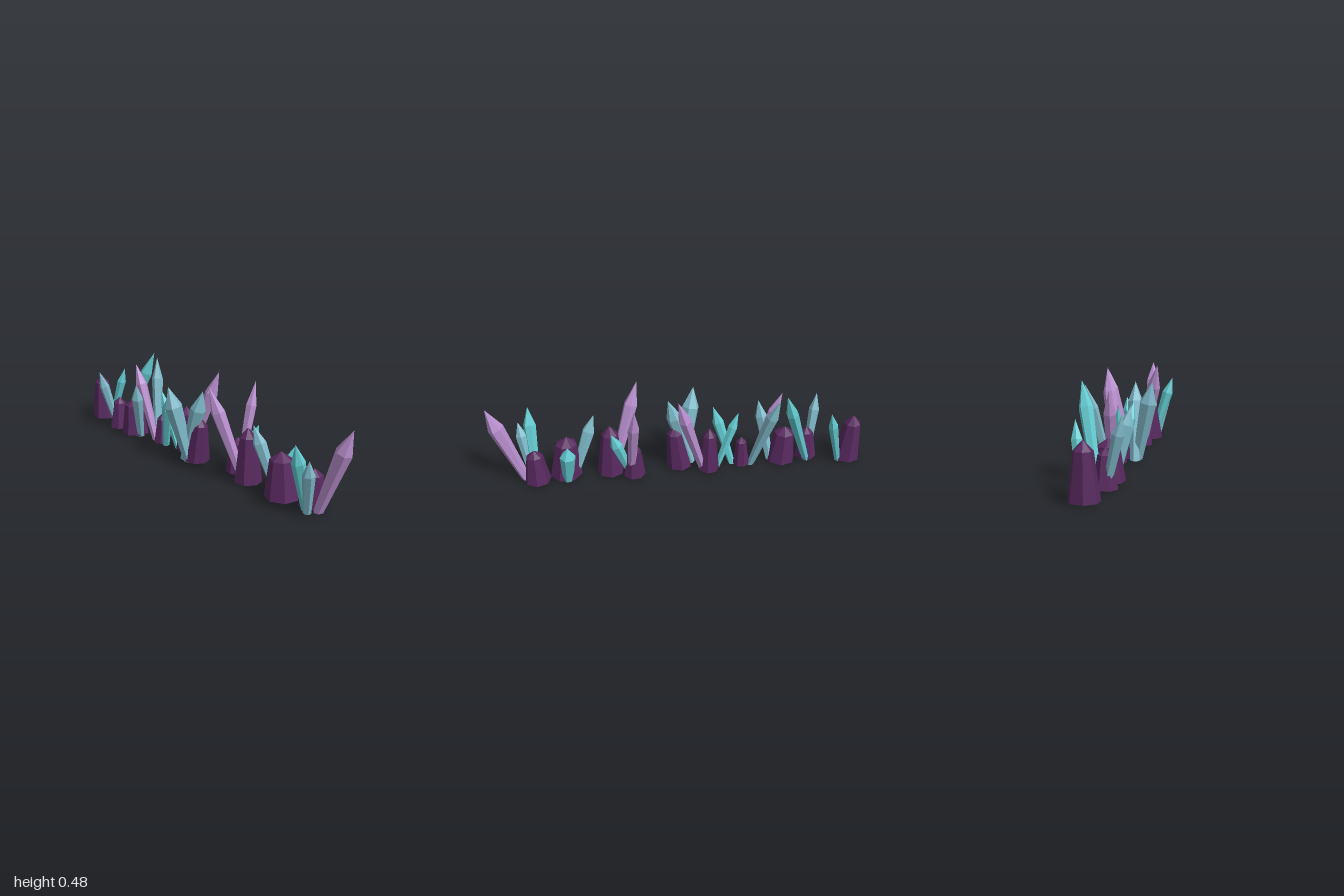
import * as THREE from 'three';

const mat = (name, color) => {
  const m = new THREE.MeshStandardMaterial({ color, flatShading: true });
  m.name = name;
  return m;
};

export function createModel() {
  const group = new THREE.Group();
  const rockMat = mat('dark purple rock', 0x58295f);
  const teal = mat('bright teal crystal', 0x64ccd2);
  const blue = mat('soft blue crystal', 0x80bbcb);
  const lilac = mat('lilac crystal', 0xba90d0);

  const add = (geometry, material, name) => {
    const mesh = new THREE.Mesh(geometry, material);
    mesh.name = name;
    group.add(mesh);
    return mesh;
  };

  // Tapered faceted rock with a low point, its top shifted by (dx, dz)
  function rock(x, z, r, h, dx, dz, taper, i) {
    const profile = [[0, 0], [r, 0], [r * taper, h * 0.82], [0, h]];
    const geo = new THREE.LatheGeometry(profile.map(p => new THREE.Vector2(...p)), 7);
    geo.rotateY(i * 1.3);
    const p = geo.attributes.position;
    for (let k = 0; k < p.count; k++) {
      const t = p.getY(k) / h;
      p.setX(k, p.getX(k) + dx * t);
      p.setZ(k, p.getZ(k) + dz * t);
    }
    geo.computeVertexNormals();
    add(geo, rockMat, 'rock' + i).position.set(x, 0.008, z);
  }

  // Six-sided crystal, widest near its tip, cut level with the ground
  function crystal(base, tip, r, material, i) {
    const a = new THREE.Vector3(base[0], 0.002, base[1]);
    const dir = new THREE.Vector3(...tip).sub(a);
    const len = dir.length();
    const profile = [[0, 0], [r * 0.64, 0], [r, len * 0.74], [0, len]];
    const geo = new THREE.LatheGeometry(profile.map(p => new THREE.Vector2(...p)), 6);
    geo.rotateY(i * 0.7);
    geo.applyQuaternion(new THREE.Quaternion().setFromUnitVectors(
      new THREE.Vector3(0, 1, 0), dir.normalize()));
    geo.translate(a.x, a.y, a.z);
    const p = geo.attributes.position;
    for (let k = 0; k < p.count; k++) if (p.getY(k) < 0.03) p.setY(k, 0.002);
    geo.computeVertexNormals();
    add(geo, material, 'crystal' + i);
  }

  // x, z, radius, height, top shift x, top shift z, taper
  [
    [-0.93, -0.005, 0.072, 0.262, -0.015, 0, 0.62],
    [-0.705, 0.035, 0.06, 0.185, 0.005, 0, 0.6],
    [-0.56, 0.02, 0.08, 0.203, -0.015, 0, 0.68],
    [-0.335, 0, 0.046, 0.167, 0.005, 0, 0.62],
    [-0.15, -0.03, 0.057, 0.254, 0, 0, 0.62],
    [0.005, 0.025, 0.068, 0.245, 0.03, 0, 0.6],
    [0.255, -0.035, 0.06, 0.187, 0, 0, 0.62],
    [0.38, 0.01, 0.073, 0.283, -0.005, 0, 0.62],
    [0.62, 0.015, 0.087, 0.229, -0.015, 0, 0.66],
    [0.77, -0.03, 0.07, 0.185, 0.005, 0, 0.62],
  ].forEach((v, i) => rock(...v, i + 1));

  // base [x, z], tip [x, y, z], radius, colour
  [
    [[-0.875, -0.03], [-0.795, 0.33, -0.075], 0.027, teal],
    [[-0.715, 0.04], [-0.767, 0.35, 0.125], 0.028, blue],
    [[-0.70, 0], [-0.537, 0.472, -0.11], 0.034, teal],
    [[-0.39, 0], [-0.543, 0.425, 0.018], 0.033, lilac],
    [[-0.385, -0.01], [-0.505, 0.45, -0.105], 0.032, blue],
    [[-0.50, 0.03], [-0.435, 0.34, 0.1], 0.034, blue],
    [[-0.20, -0.01], [-0.312, 0.32, 0.015], 0.027, teal],
    [[-0.285, 0.01], [-0.183, 0.333, 0.07], 0.03, teal],
    [[-0.12, -0.03], [0.025, 0.478, -0.112], 0.036, lilac],
    [[-0.02, 0.06], [-0.085, 0.42, 0.147], 0.047, blue],
    [[-0.06, 0.055], [0.063, 0.408, 0.035], 0.042, blue],
    [[0.365, 0.025], [0.217, 0.485, 0.13], 0.037, lilac],
    [[0.27, -0.035], [0.25, 0.468, -0.16], 0.03, lilac],
    [[0.275, -0.02], [0.37, 0.285, -0.07], 0.033, teal],
    [[0.575, 0.0], [0.455, 0.336, 0.055], 0.034, blue],
    [[0.61, -0.045], [0.597, 0.23, -0.085], 0.042, teal],
    [[0.785, 0.03], [0.80, 0.36, 0.14], 0.034, teal],
    [[0.81, 0.05], [0.856, 0.29, 0.105], 0.031, blue],
    [[0.835, 0], [0.995, 0.445, -0.01], 0.042, lilac],
  ].forEach((v, i) => crystal(...v, i + 1));

  return group;
}
